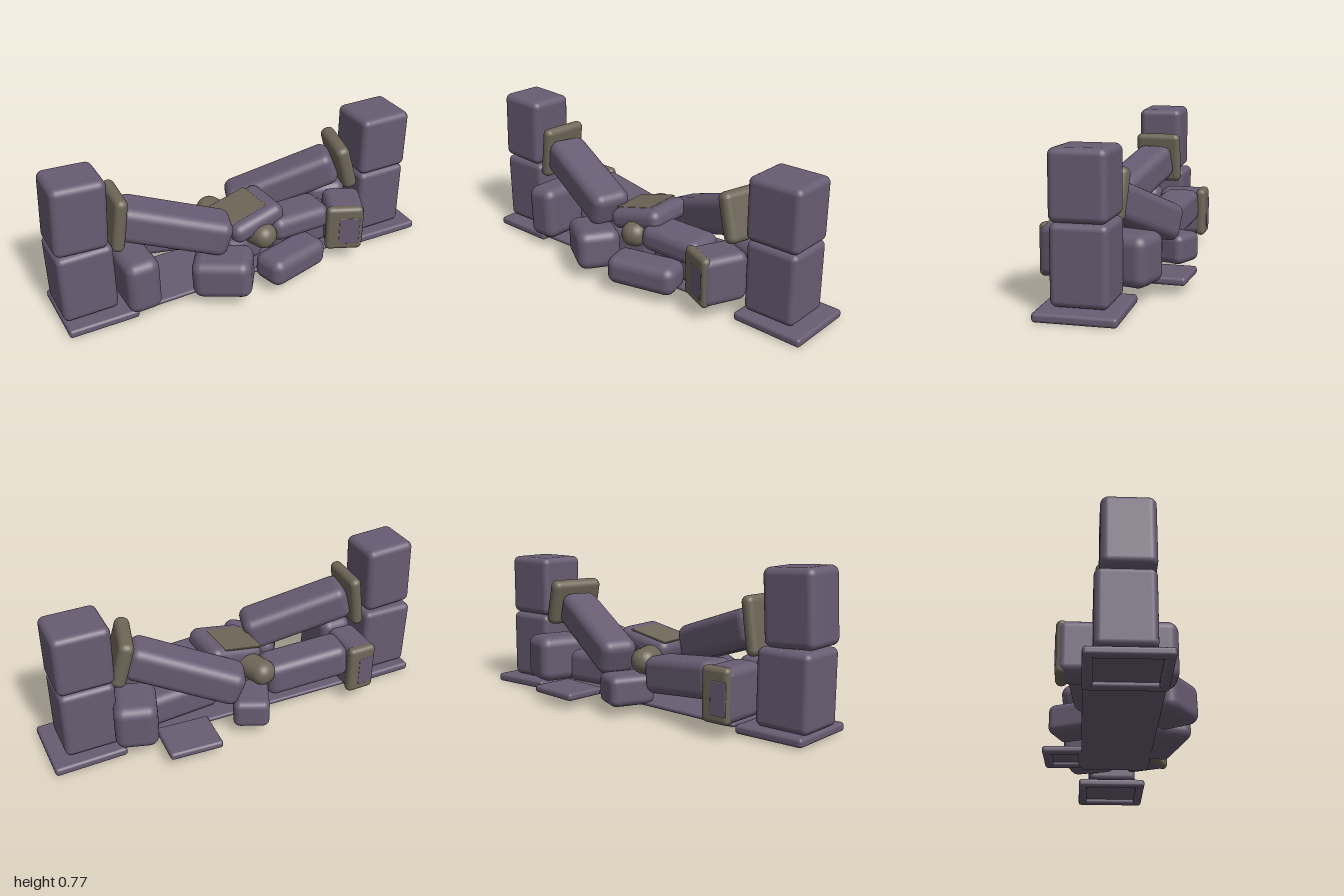
import * as THREE from 'three';
import { RoundedBoxGeometry } from 'three/addons/geometries/RoundedBoxGeometry.js';

export function createModel() {
  const model = new THREE.Group();
  model.name = 'ruinedWall';
  const stone = new THREE.MeshStandardMaterial({ name: 'purple stone', color: 0x685c72 });
  const moss = new THREE.MeshStandardMaterial({ name: 'brown moss', color: 0x6f6658 });

  // Worn block: centre, size, yaw and tilt, corner radius
  function block(name, pos, size, yaw = 0, tilt = 0, radius = 0.035, mat = stone, parent = model) {
    const r = Math.min(radius, Math.min(...size) * 0.48);
    const mesh = new THREE.Mesh(new RoundedBoxGeometry(...size, 4, r), mat);
    mesh.name = name;
    mesh.position.set(...pos);
    mesh.rotation.set(0, yaw, tilt, 'YZX');
    parent.add(mesh);
    return mesh;
  }

  // Slab hollowed out underneath: thin lid with a rim of four bars
  function hollowSlab(name, pos, [w, h, d], yaw = 0, tilt = 0) {
    const slab = new THREE.Group();
    slab.name = name;
    slab.position.set(...pos);
    slab.rotation.set(0, yaw, tilt, 'YZX');
    const rim = 0.045;
    block(name + 'Lid', [0, h * 0.3, 0], [w - 0.01, h * 0.4, d - 0.01], 0, 0, 0.008, stone, slab);
    for (const side of [-1, 1]) {
      block(name + 'SideRim', [side * (w - rim) / 2, 0, 0], [rim, h, d], 0, 0, 0.015, stone, slab);
      block(name + 'EndRim', [0, 0, side * (d - rim) / 2], [w, h, rim], 0, 0, 0.015, stone, slab);
    }
    model.add(slab);
  }

  // Pillars: base slab and two stacked blocks at each end
  hollowSlab('rightBase', [-0.825, 0.03, 0.003], [0.35, 0.042, 0.37]);
  block('rightPillarLower', [-0.863, 0.23, -0.01], [0.274, 0.36, 0.26], 0, 0.01, 0.03);
  block('rightPillarUpper', [-0.868, 0.589, 0.003], [0.262, 0.355, 0.24], 0, -0.05, 0.035);
  hollowSlab('leftBase', [0.815, 0.026, -0.01], [0.36, 0.042, 0.365], 0, -0.02);
  block('leftPillarLower', [0.786, 0.225, -0.008], [0.27, 0.355, 0.257], 0, 0, 0.03);
  block('leftPillarUpper', [0.785, 0.558, -0.005], [0.28, 0.31, 0.257], 0, 0, 0.032);

  // Fallen beams leaning on the pillars, with their end caps
  block('rightBeam', [-0.41, 0.40, 0.07], [0.565, 0.185, 0.205], -0.28, -0.31, 0.05);
  block('rightBeamCap', [-0.678, 0.492, -0.005], [0.062, 0.275, 0.25], -0.05, -0.14, 0.03, moss);
  block('leftBeam', [0.29, 0.355, -0.105], [0.59, 0.185, 0.19], -0.36, 0.36, 0.05);
  block('leftBeamCap', [0.575, 0.48, 0.003], [0.075, 0.245, 0.285], -0.24, 0.27, 0.033, moss);
  block('rearBeam', [-0.35, 0.225, -0.145], [0.44, 0.18, 0.19], -0.12, -0.1, 0.045);

  // Rubble stones
  const rubble = [
    ['rubbleFrontRight', [-0.215, 0.157, 0.22], [0.29, 0.2, 0.22], -0.58, 0.06, 0.05],
    ['rubbleFrontLeft', [0.155, 0.123, 0.24], [0.36, 0.145, 0.18], 0.27, -0.02, 0.05],
    ['rubbleMiddleLeft', [0.25, 0.265, 0.1], [0.34, 0.13, 0.21], 0.05, -0.03, 0.05],
    ['rubbleInnerLeft', [0.31, 0.155, 0.01], [0.4, 0.17, 0.26], 0.08, 0, 0.045],
    ['rubbleInnerRight', [-0.08, 0.17, 0.02], [0.26, 0.16, 0.26], 0.2, 0, 0.045],
    ['rubbleRear', [-0.02, 0.125, -0.21], [0.18, 0.15, 0.23], -0.42, 0, 0.035],
    ['rubbleRearLeft', [0.565, 0.195, -0.135], [0.21, 0.235, 0.26], -0.3, 0, 0.05],
    ['rubbleFarRight', [-0.625, 0.195, 0.1], [0.17, 0.28, 0.265], 0.02, 0.02, 0.05],
  ];
  for (const part of rubble) block(...part);

  // Tilted centre stone with a mossy top, resting on a long mossy stone
  const centre = block('centreStone', [0.005, 0.325, 0.045], [0.3, 0.105, 0.28], 0.08, 0.22, 0.045);
  block('centreMoss', [-0.028, 0.05, -0.025], [0.215, 0.009, 0.21], 0, 0, 0.004, moss, centre);
  block('mossyStone', [-0.035, 0.265, 0.005], [0.13, 0.125, 0.5], 0.36, 0, 0.06, moss);

  // Blocks with moss on one end and a bare patch in the middle of it
  function mossyBlock(name, pos, size, yaw) {
    const [w, h, d] = size;
    const body = block(name, pos, size, yaw, 0, 0.04);
    block(name + 'Moss', [-0.006, 0, d * 0.41], [w - 0.004, h + 0.006, d * 0.18 + 0.008], 0, 0, 0.025, moss, body);
    block(name + 'Patch', [w * 0.1, -0.01, d / 2 + 0.001], [w * 0.55, h * 0.62, 0.009], 0, 0, 0.004, stone, body);
  }
  mossyBlock('mossyBlockLeft', [0.52, 0.205, 0.15], [0.195, 0.245, 0.235], -0.42);
  mossyBlock('mossyBlockRear', [-0.625, 0.2, -0.165], [0.155, 0.255, 0.255], Math.PI);

  // Thin ground slabs
  block('floorSlab', [-0.07, 0.055, 0], [1.15, 0.022, 0.36], 0, 0.018, 0.01);
  hollowSlab('looseSlab', [0.34, 0.068, -0.265], [0.27, 0.038, 0.225], -0.04, 0.02);

  return model;
}
